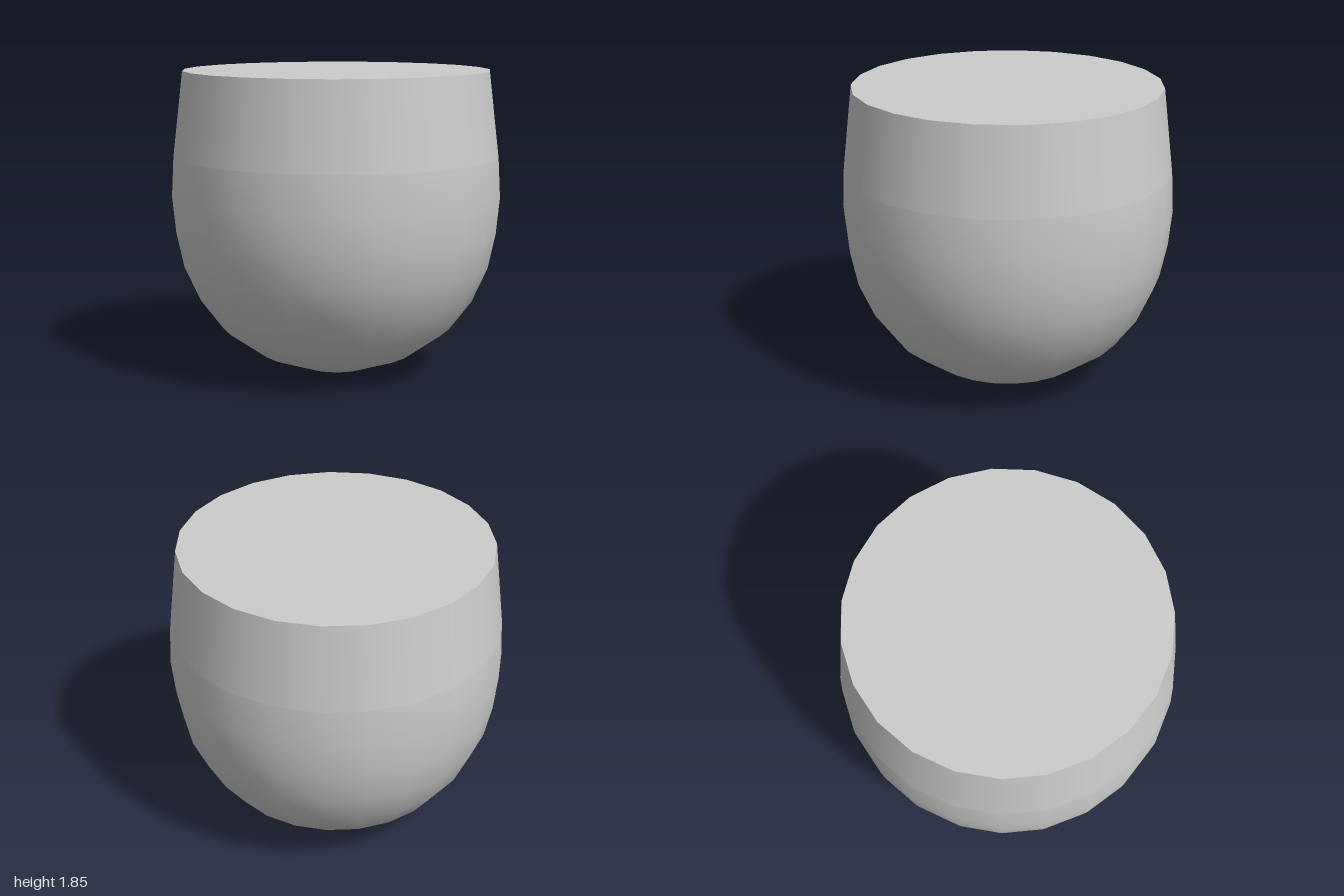
import * as THREE from 'three';

const SIDES = 23;
const RIM_RADIUS = 0.93;
const RIM_HEIGHT = 1.85;

export function createModel() {
  const group = new THREE.Group();
  const material = new THREE.MeshStandardMaterial({ color: 0xcccccc });

  const add = (name, geometry) => {
    const mesh = new THREE.Mesh(geometry, material);
    mesh.name = name;
    group.add(mesh);
    return mesh;
  };

  // Revolve a bottom-to-top profile, with a corner on +x
  const revolve = (profile) => new THREE.LatheGeometry(
    profile.map(([r, y]) => new THREE.Vector2(r, y)), SIDES, Math.PI / 2);

  // Rounded bowl
  add('bowl', revolve([
    [0, 0], [0.2, 0.02], [0.47, 0.115], [0.705, 0.28], [0.84, 0.46],
    [0.935, 0.67], [0.98, 0.88], [1.002, 1.1], [0.99, 1.335],
  ]));

  // Tapered collar, with a crease where it meets the bowl
  add('collar', revolve([[0.99, 1.335], [RIM_RADIUS, RIM_HEIGHT]]));

  // Flat top
  const top = add('top', new THREE.CircleGeometry(RIM_RADIUS, SIDES));
  top.rotation.x = -Math.PI / 2;
  top.position.y = RIM_HEIGHT;

  // Odd side count: shift to centre the width
  group.children.forEach((part) => { part.position.x = -0.005; });
  return group;
}
